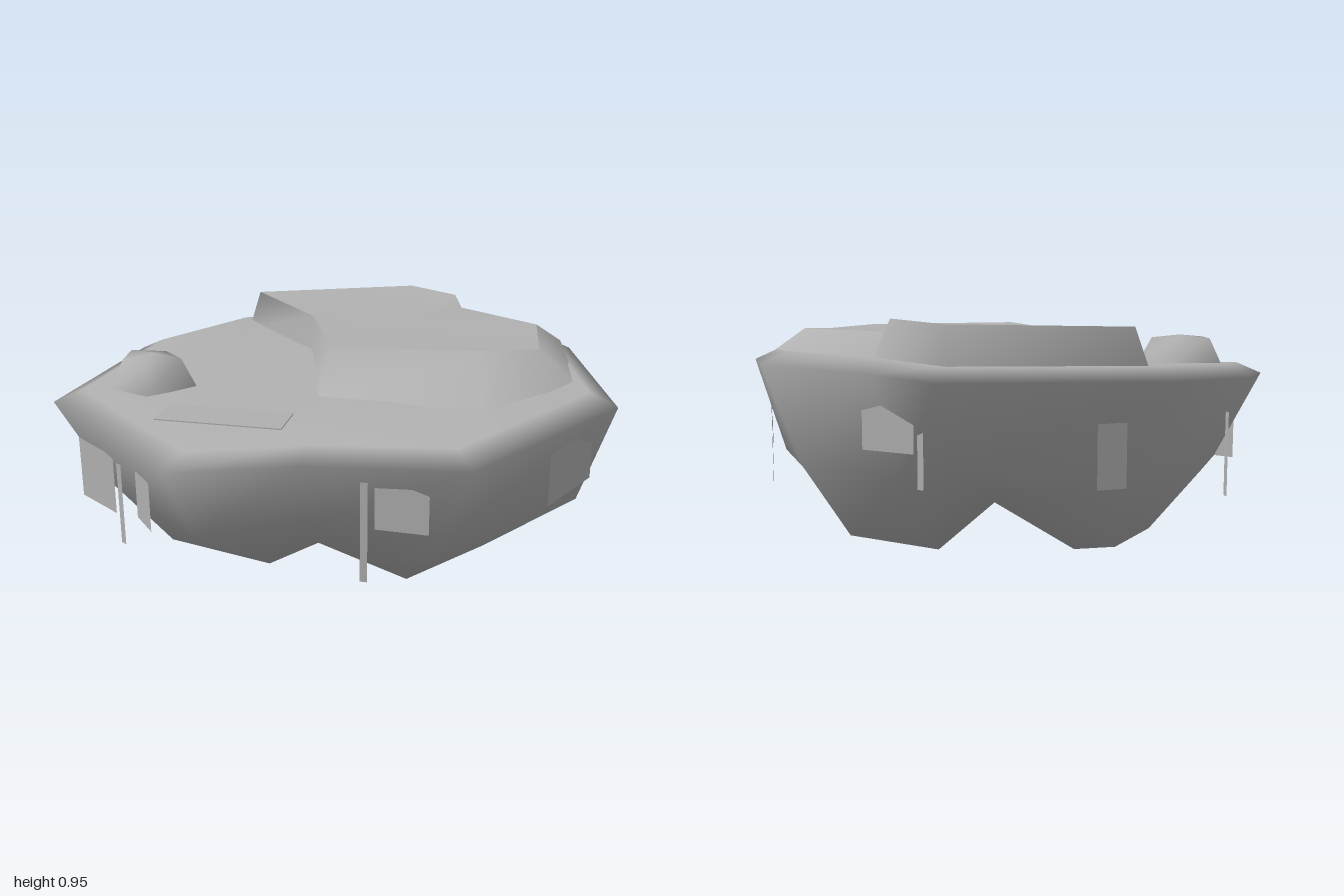
import * as THREE from 'three';

const stone = new THREE.MeshStandardMaterial({ color: 0xb0b0b0 });
stone.name = 'stone grey';
const plate = new THREE.MeshStandardMaterial({ color: 0xb0b0b0, side: THREE.DoubleSide });
plate.name = 'plate grey';

// Smooth skin over rings listed from top to bottom; optional top centre and bottom fans
function skin(rings, top, fans = []) {
  const n = rings[0].length;
  const pos = rings.flat();
  const index = [];
  for (let r = 0; r < rings.length - 1; r++) {
    for (let i = 0; i < n; i++) {
      const j = (i + 1) % n, a = r * n, b = a + n;
      index.push(a + i, a + j, b + j, a + i, b + j, b + i);
    }
  }
  if (top) {
    pos.push(top);
    for (let i = 0; i < n; i++) index.push((i + 1) % n, i, pos.length - 1);
  }
  // Each fan: loop of bottom ring indices, the valley point and a keel
  const last = (rings.length - 1) * n;
  for (const { loop, valley, keel } of fans) {
    const v = pos.push(valley) - 1, k = pos.push(keel) - 1;
    const ids = [...loop.map(i => last + i), v];
    ids.forEach((id, i) => index.push(id, ids[(i + 1) % ids.length], k));
  }
  const g = new THREE.BufferGeometry();
  g.setAttribute('position', new THREE.Float32BufferAttribute(pos.flat(), 3));
  g.setIndex(index);
  g.computeVertexNormals();
  return g;
}

// Upright plate between two ground points, with its own heights at each end and a raised peak
function panel([x0, z0], [x1, z1], b0, b1, t0, t1, peak = 0) {
  const xm = (x0 + x1) / 2, zm = (z0 + z1) / 2;
  const g = new THREE.BufferGeometry();
  g.setAttribute('position', new THREE.Float32BufferAttribute([
    x0, b0, z0, x1, b1, z1, x1, t1, z1, xm, (t0 + t1) / 2 + peak, zm, x0, t0, z0], 3));
  g.setIndex([0, 1, 2, 0, 2, 3, 0, 3, 4]);
  g.computeVertexNormals();
  return g;
}

export function createModel() {
  const model = new THREE.Group();
  const add = (name, geometry, material = stone) => {
    const m = new THREE.Mesh(geometry, material);
    m.name = name;
    model.add(m);
  };

  // Island body: ground, bevelled rim and tapering underside with two keels
  const rim = [
    [0.11, 0.77, -0.855], [0.35, 0.78, -0.69], [0.78, 0.79, -0.49], [1.0, 0.76, 0.10],
    [0.60, 0.73, 0.73], [0.05, 0.69, 0.725], [-0.38, 0.67, 0.85], [-1.0, 0.70, 0.39],
    [-0.91, 0.74, -0.22], [-0.645, 0.76, -0.60]];
  const bevel = rim.map(([x, y, z]) => [x * 0.9, y + 0.045, z * 0.9]);
  const ground = rim.map(([x, y, z]) => [x * 0.5, 0.5 * y + 0.4, z * 0.5]);
  const middle = [
    [0.07, 0.43, -0.55], [0.28, 0.42, -0.52], [0.66, 0.42, -0.42], [0.88, 0.40, 0.09],
    [0.50, 0.45, 0.62], [0.03, 0.43, 0.56], [-0.33, 0.40, 0.74], [-0.82, 0.37, 0.33],
    [-0.74, 0.40, -0.20], [-0.48, 0.42, -0.48]];
  const low = [
    [0, 0.29, -0.30], [0.29, 0.15, -0.28], [0.53, 0.145, -0.28], [0.55, 0.14, 0.02],
    [0.35, 0.20, 0.35], [0, 0.25, 0.38], [-0.30, 0.19, 0.42], [-0.61, 0.14, 0.28],
    [-0.56, 0.16, -0.10], [-0.44, 0.13, -0.28]];
  const valley = [0, 0.25, 0];
  add('islandBody', skin([ground, bevel, rim, middle, low], [0, 0.77, 0], [
    { loop: [0, 1, 2, 3, 4, 5], valley, keel: [0.27, 0.002, 0.11] },
    { loop: [5, 6, 7, 8, 9, 0], valley, keel: [-0.27, 0.012, 0.14] }]));

  // Raised plateau at the back, with a step down at its back left corner
  const crest = [
    [-0.50, 0.93, -0.50], [0.10, 0.945, -0.71], [0.31, 0.955, -0.56], [0.335, 0.91, -0.54],
    [0.66, 0.91, -0.36], [0.70, 0.89, -0.10], [0.50, 0.905, 0.03], [-0.02, 0.91, 0.13],
    [-0.20, 0.91, -0.26]];
  const skirt = [
    [-0.56, 0.76, -0.52], [0.11, 0.79, -0.74], [0.33, 0.79, -0.61], [0.38, 0.79, -0.59],
    [0.75, 0.84, -0.41], [0.86, 0.79, 0.02], [0.58, 0.76, 0.36], [-0.04, 0.75, 0.23],
    [-0.21, 0.75, -0.25]];
  add('plateauTop', skin([crest], [0.15, 0.905, -0.25]));
  add('plateauSides', skin([crest, skirt]));

  // Small boulder
  const foot = [[-0.83, 0.14], [-0.64, 0.11], [-0.505, 0.22], [-0.64, 0.37], [-0.80, 0.32]];
  const boulderRing = (s, y) => foot.map(([x, z]) => [-0.68 + (x + 0.68) * s, y, 0.23 + (z - 0.23) * s]);
  add('boulder', skin([boulderRing(0.68, 0.85), boulderRing(1, 0.745)], [-0.67, 0.862, 0.22]));

  // Flat patch almost flush with the ground
  const patch = new THREE.BoxGeometry(0.45, 0.004, 0.16);
  patch.rotateY(0.04).translate(-0.3, 0.744, 0.49);
  add('groundPatch', patch);

  // Hanging plates around the rim
  [
    [[-0.90, 0.41], [-0.71, 0.53], 0.35, 0.35, 0.58, 0.57],
    [[-0.575, 0.64], [-0.49, 0.72], 0.40, 0.39, 0.575, 0.57],
    [[0.275, 0.67], [0.455, 0.67], 0.47, 0.47, 0.64, 0.62, 0.03],
    [[0.80, 0.33], [0.925, 0.17], 0.465, 0.52, 0.65, 0.65, 0.04],
    [[0.40, -0.61], [0.21, -0.69], 0.52, 0.52, 0.70, 0.70],
    [[-0.48, -0.57], [-0.385, -0.62], 0.40, 0.40, 0.62, 0.62],
  ].forEach(p => add('hangingPlate', panel(...p), plate));

  // Narrow hanging strips: x, z, bottom, top, turn
  [
    [-0.66, 0.59, 0.265, 0.57, 0.5], [0.247, 0.70, 0.29, 0.645, 0],
    [-0.825, -0.25, 0.32, 0.62, 1.2], [0.81, -0.29, 0.47, 0.66, 1.3],
    [0.77, -0.42, 0.36, 0.65, 1.3], [0.19, -0.68, 0.40, 0.66, 0.5],
  ].forEach(([x, z, b, t, turn]) => {
    const dx = 0.0125 * Math.cos(turn), dz = 0.0125 * Math.sin(turn);
    add('hangingStrip', panel([x - dx, z - dz], [x + dx, z + dz], b, b, t, t), plate);
  });
  return model;
}
